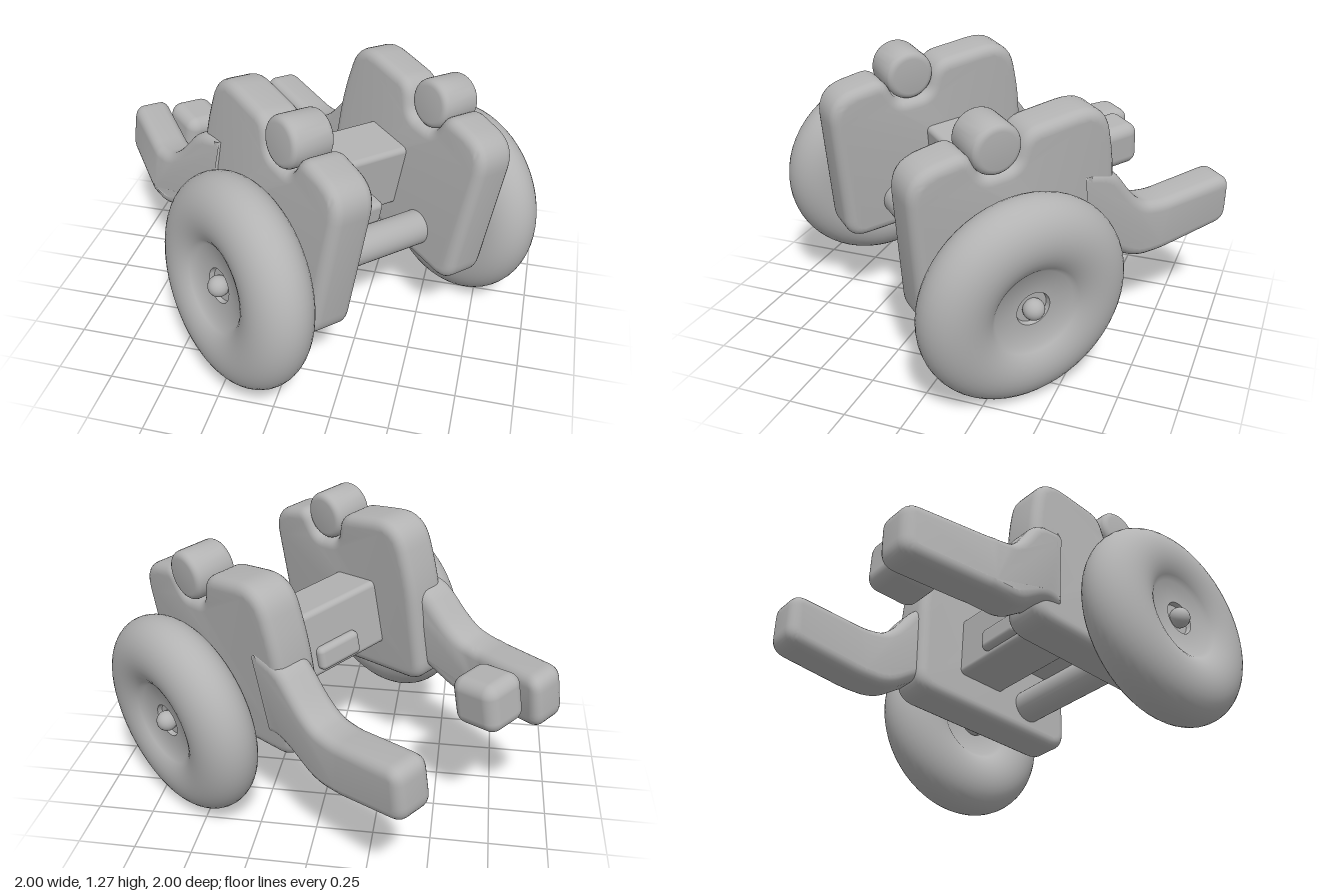
import * as THREE from 'three';
import { toCreasedNormals } from 'three/addons/utils/BufferGeometryUtils.js';
import { RoundedBoxGeometry } from 'three/addons/geometries/RoundedBoxGeometry.js';

const V2 = (p) => new THREE.Vector2(p[0], p[1]);

// Closed outline from [x, y, cornerRadius] points
function roundedShape(points) {
  const shape = new THREE.Shape();
  const n = points.length;
  points.forEach((p, i) => {
    const c = V2(p), prev = V2(points[(i + n - 1) % n]), next = V2(points[(i + 1) % n]);
    const toward = (q) => {
      const d = q.clone().sub(c);
      return c.clone().add(d.setLength(Math.min(p[2], d.length() * 0.48)));
    };
    const a = toward(prev), b = toward(next);
    if (i === 0) shape.moveTo(a.x, a.y); else shape.lineTo(a.x, a.y);
    shape.quadraticCurveTo(c.x, c.y, b.x, b.y);
  });
  shape.closePath();
  return shape;
}

// Soft-edged slab centred on z = 0
function slab(points, thickness, bevel) {
  const geo = new THREE.ExtrudeGeometry(roundedShape(points), {
    depth: thickness - 2 * bevel, curveSegments: 8, bevelEnabled: true,
    bevelThickness: bevel, bevelSize: bevel, bevelOffset: -bevel, bevelSegments: 5,
  });
  geo.translate(0, 0, bevel - thickness / 2);
  return geo;
}

// Cylinder along z with rounded rims
function roundedRod(radius, length, rim) {
  const pts = [new THREE.Vector2(0, -length / 2)];
  for (const s of [-1, 1]) {
    for (let i = 0; i <= 5; i++) {
      const t = (s < 0 ? i : 5 - i) / 5 * Math.PI / 2;
      pts.push(new THREE.Vector2(radius - rim + rim * Math.sin(t), s * (length / 2 - rim + rim * Math.cos(t))));
    }
  }
  pts.push(new THREE.Vector2(0, length / 2));
  return toCreasedNormals(new THREE.LatheGeometry(pts, 36).rotateX(Math.PI / 2), 0.7);
}

// Fat tyre with a dished centre, axis along z
function wheelGeometry() {
  const pts = [new THREE.Vector2(0, -0.06), new THREE.Vector2(0.07, -0.06), new THREE.Vector2(0.075, -0.08)];
  for (let i = 0; i <= 28; i++) {
    const t = -Math.PI * 0.78 + (i / 28) * Math.PI * 1.56;
    pts.push(new THREE.Vector2(0.3 + 0.16 * Math.cos(t), 0.138 * Math.sin(t)));
  }
  pts.push(new THREE.Vector2(0.075, 0.08), new THREE.Vector2(0.07, 0.06), new THREE.Vector2(0, 0.06));
  return toCreasedNormals(new THREE.LatheGeometry(pts, 56).rotateX(Math.PI / 2), 0.8);
}

export function createModel() {
  const grey = new THREE.MeshStandardMaterial({ color: 0xb3b3b3 });
  grey.name = 'plain grey';
  const cart = new THREE.Group();
  cart.name = 'cart';
  const add = (name, geo, x = 0, y = 0, z = 0) => {
    const mesh = new THREE.Mesh(geo, grey);
    mesh.name = name;
    mesh.position.set(x, y, z);
    cart.add(mesh);
    return mesh;
  };

  // Side plate outline: tall back block, saddle for the knob, lower front block
  const plateOutline = [
    [-0.57, -0.14, 0.1], [0.35, -0.14, 0.1], [0.345, 0.58, 0.13], [0.08, 0.61, 0.06],
    [0.03, 0.48, 0.05], [-0.12, 0.48, 0.05], [-0.17, 0.62, 0.07], [-0.55, 0.64, 0.15], [-0.59, 0.35, 0.1],
  ];
  // Tail arm outline: slopes down from the plate, then runs level
  const armOutline = [
    [-0.42, 0.36, 0.03], [-0.42, -0.05, 0.03], [-0.52, -0.05, 0.08], [-0.7, -0.19, 0.08], [-0.85, -0.2, 0.05],
    [-1.22, -0.17, 0.07], [-1.23, 0.07, 0.07], [-0.85, 0.06, 0.05], [-0.73, 0.09, 0.12], [-0.59, 0.31, 0.07],
  ];

  for (const s of [1, -1]) {
    const side = s > 0 ? 'right' : 'left';
    const wheelX = s * 0.028;
    add(side + 'SidePlate', toCreasedNormals(slab(plateOutline, 0.2, 0.045), 0.7), s * 0.005, 0, s * 0.38);
    add(side + 'Knob', roundedRod(0.11, 0.2, 0.03), -0.04, 0.59, s * 0.39);
    add(side + 'Wheel', wheelGeometry(), wheelX, 0, s * 0.648);
    add(side + 'HubCap', new THREE.SphereGeometry(0.045, 24, 16), wheelX, 0, s * 0.73);
    add(side + 'WheelAxle', roundedRod(0.07, 0.2, 0.01), wheelX, 0, s * 0.52);

    // Only the right arm bows outward and returns inward at its tip
    const arm = slab(armOutline, 0.175, 0.045);
    if (s > 0) {
      const pos = arm.attributes.position;
      for (let i = 0; i < pos.count; i++) {
        const x = pos.getX(i);
        const bow = x > -0.85 ? 0.06 * Math.min(1, (-0.42 - x) / 0.35) : 0.06 - 0.2 * (-0.85 - x);
        pos.setZ(i, pos.getZ(i) + bow);
      }
    }
    add(side + 'TailArm', toCreasedNormals(arm, 0.7), 0, 0, s * 0.4);
  }

  // Cross members between the plates
  add('crossBeam', new RoundedBoxGeometry(0.26, 0.31, 0.66, 4, 0.025), -0.215, 0.175, 0);
  add('beamBlock', new RoundedBoxGeometry(0.41, 0.11, 0.23, 4, 0.025), -0.175, 0.105, 0.01);
  add('crossBar', roundedRod(0.08, 0.66, 0.01), 0.085, 0.01, 0);

  // Stub on the inner face of the right arm
  add('armPeg', new RoundedBoxGeometry(0.23, 0.22, 0.21, 5, 0.055), -1.04, -0.02, 0.215);

  // Tilt and turn the whole cart into its resting pose
  const across = new THREE.Vector3(-0.64, 0.108, 0.76).normalize();
  const up = new THREE.Vector3(0.16, 0.987, -0.005);
  const forward = new THREE.Vector3().crossVectors(up, across).normalize();
  up.crossVectors(across, forward);
  cart.applyMatrix4(new THREE.Matrix4().makeBasis(forward, up, across).setPosition(0.222, 0.53, 0.14));

  const model = new THREE.Group();
  model.name = 'twoWheeledCart';
  model.add(cart);
  return model;
}
